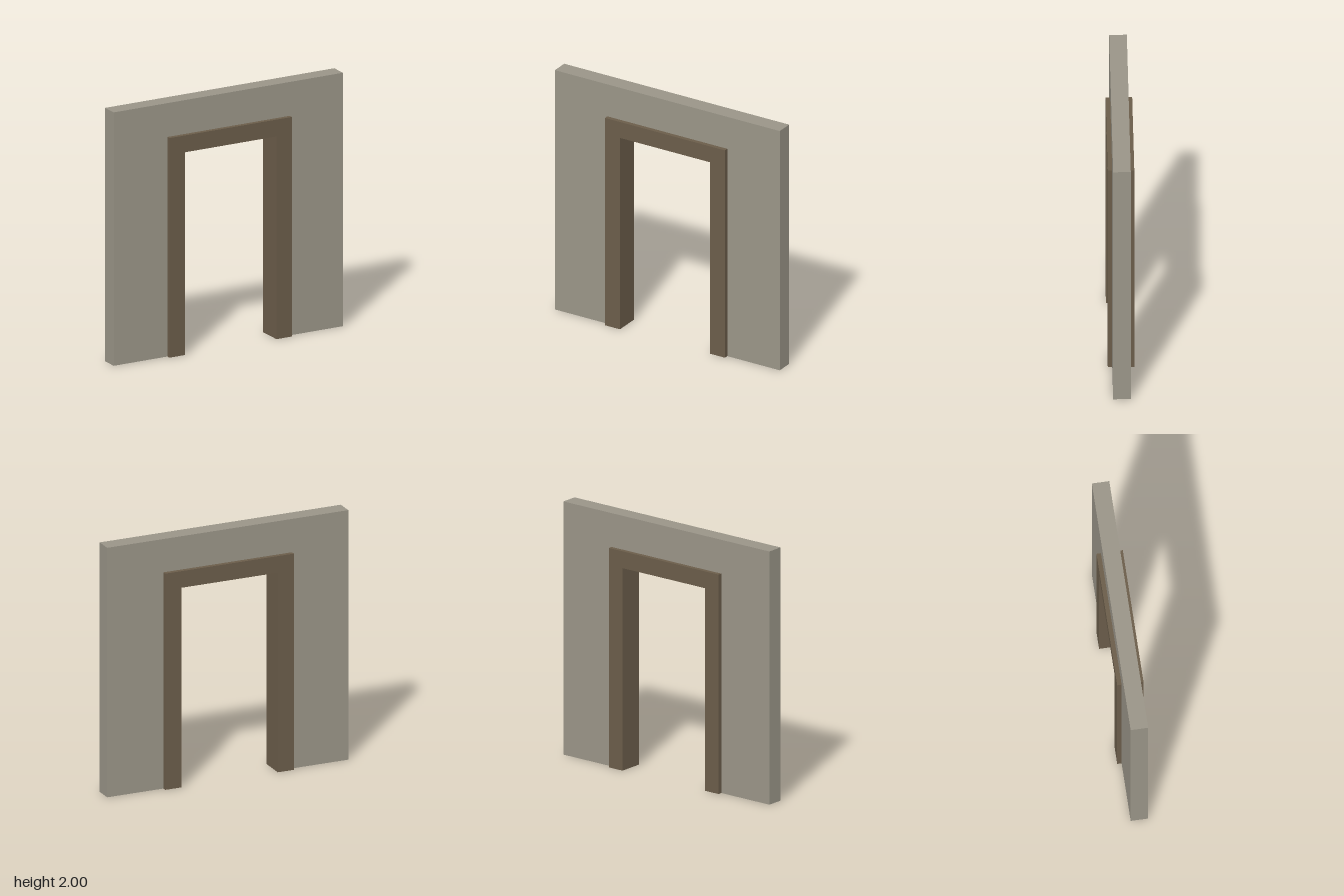
import * as THREE from 'three';

// Upside-down U standing on the ground, extruded and centred in depth
function archway(name, outerHalf, outerTop, innerHalf, innerTop, depth, color) {
  const shape = new THREE.Shape([
    [-outerHalf, 0], [-innerHalf, 0], [-innerHalf, innerTop], [innerHalf, innerTop],
    [innerHalf, 0], [outerHalf, 0], [outerHalf, outerTop], [-outerHalf, outerTop],
  ].map(([x, y]) => new THREE.Vector2(x, y)));
  const geometry = new THREE.ExtrudeGeometry(shape, { depth, bevelEnabled: false });
  geometry.translate(0, 0, -depth / 2);
  const mesh = new THREE.Mesh(geometry, new THREE.MeshStandardMaterial({ color }));
  mesh.name = name;
  return mesh;
}

export function createModel() {
  const model = new THREE.Group();
  model.name = 'doorway';
  const frameHalf = 0.533, frameTop = 1.733;
  // Wall panel with an opening that the frame fills
  model.add(archway('wall', 1, 2, frameHalf, frameTop, 0.133, 0x9a9588));
  // Door frame, proud of the wall on both sides
  model.add(archway('doorFrame', frameHalf, frameTop, 0.4, 1.6, 0.2, 0x6b5d4a));
  return model;
}
